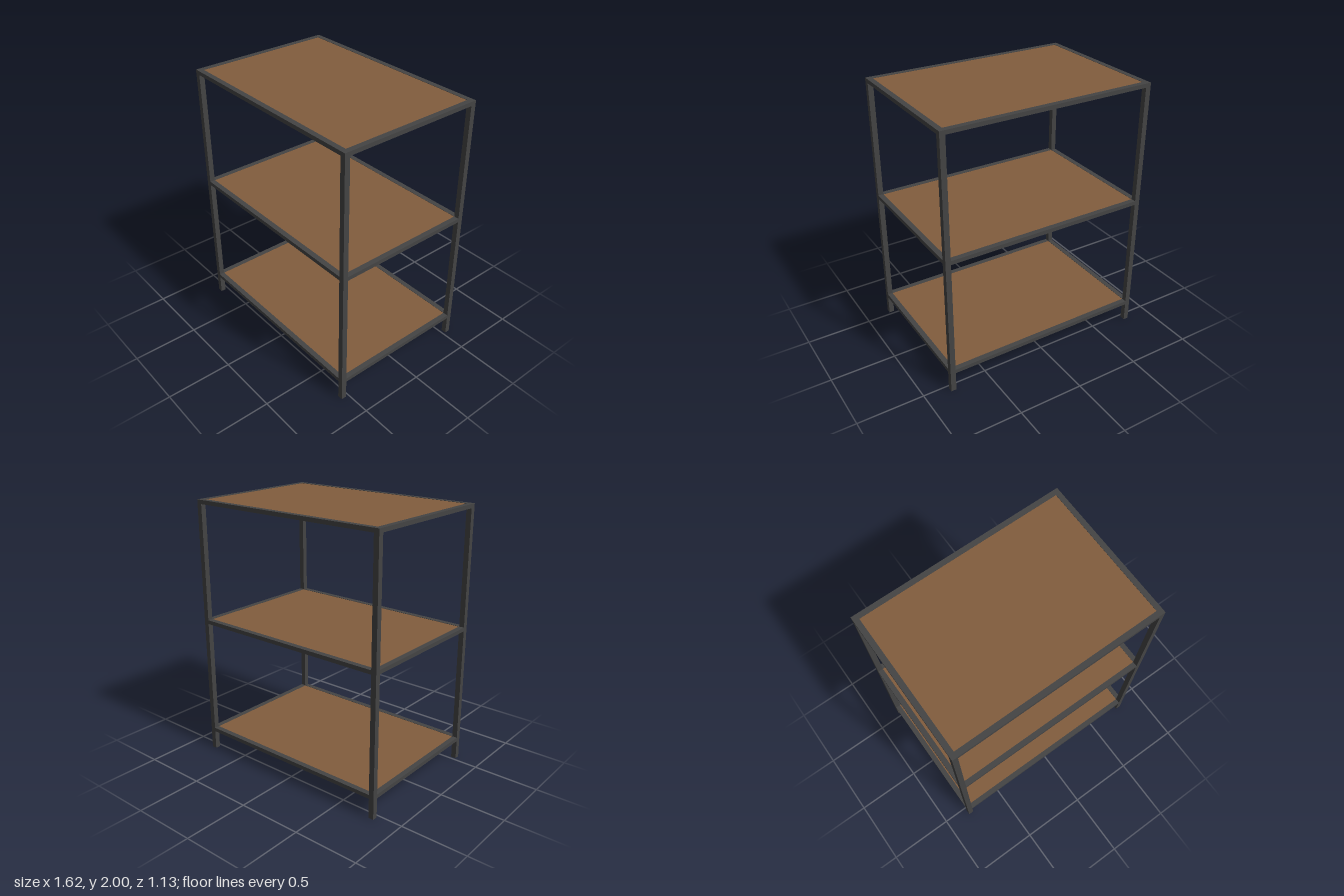
import * as THREE from 'three';

export function createModel() {
  const group = new THREE.Group();
  const metal = new THREE.MeshStandardMaterial({ color: 0x444444 });
  metal.name = 'dark grey metal';
  const wood = new THREE.MeshStandardMaterial({ color: 0x825d3e });
  wood.name = 'brown wood';

  const X = 0.81, Z = 0.563, H = 2; // half width, half depth, height
  const T = 0.04, R = 0.03;         // tube width, rail height

  const box = (name, material, w, h, d, x, y, z) => {
    const mesh = new THREE.Mesh(new THREE.BoxGeometry(w, h, d), material);
    mesh.name = name;
    mesh.position.set(x, y, z);
    group.add(mesh);
  };

  // Four corner posts
  for (const sx of [-1, 1])
    for (const sz of [-1, 1])
      box('cornerPost', metal, T, H, T, sx * (X - T / 2), H / 2, sz * (Z - T / 2));

  // Three shelves: a rail frame between the posts with a thin board inside it
  const w = 2 * (X - T), d = 2 * (Z - T), board = 0.018;
  for (const top of [0.18, 1.09, H]) {
    const y = top - R / 2;
    for (const s of [-1, 1]) {
      box('longRail', metal, w, R, T, 0, y, s * (Z - T / 2));
      box('shortRail', metal, T, R, d, s * (X - T / 2), y, 0);
    }
    box('shelfBoard', wood, w, board, d, 0, top - 0.002 - board / 2, 0);
  }
  return group;
}
